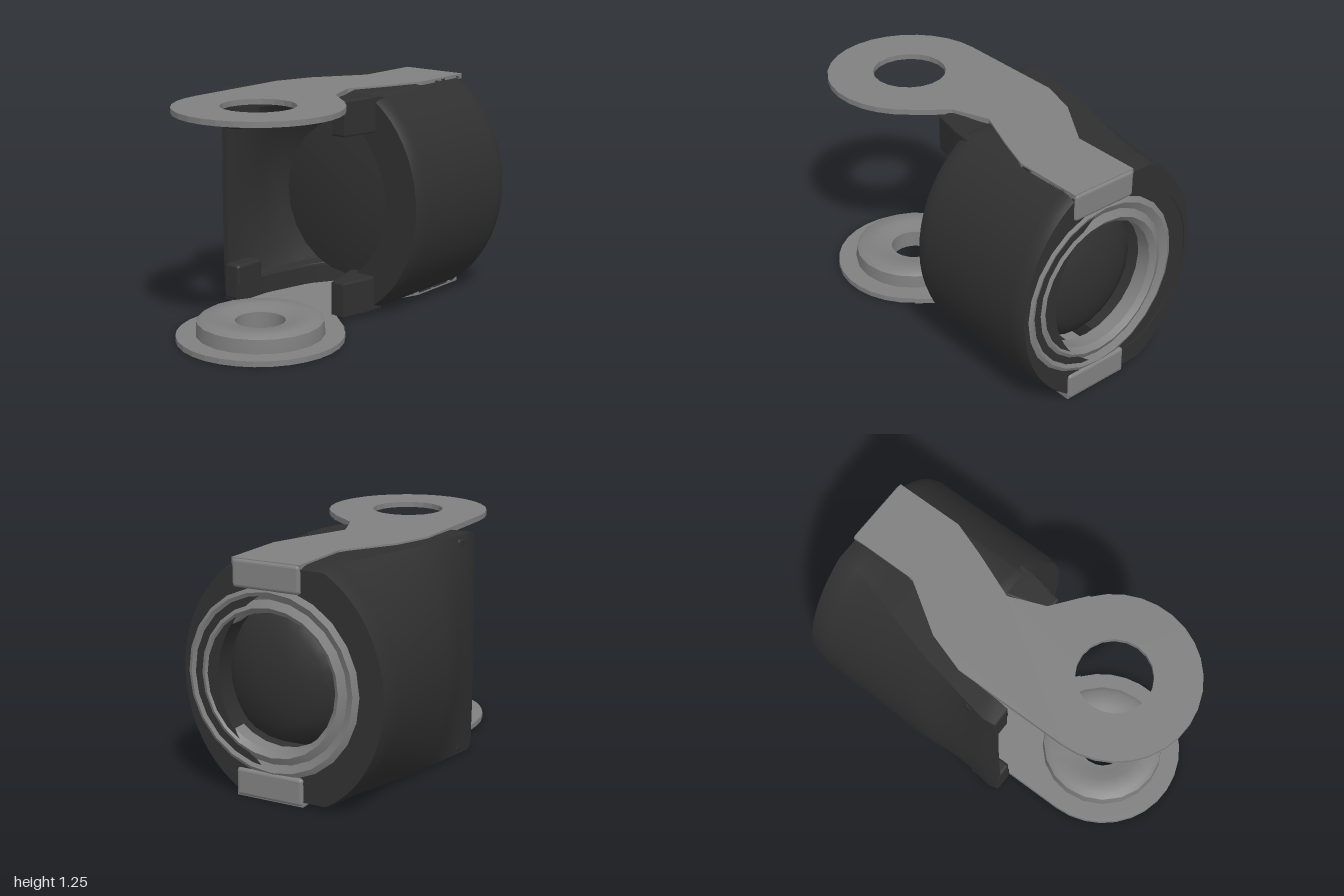
import * as THREE from 'three';
import { toCreasedNormals } from 'three/addons/utils/BufferGeometryUtils.js';
import { RoundedBoxGeometry } from 'three/addons/geometries/RoundedBoxGeometry.js';

const dark = new THREE.MeshStandardMaterial({ color: 0x303030, side: THREE.DoubleSide });
const metal = new THREE.MeshStandardMaterial({ color: 0x808080, side: THREE.DoubleSide });
const MID = 0.625, HALF = 0.615;

function add(parent, name, geometry, material, x = 0, y = 0, z = 0) {
  const m = new THREE.Mesh(geometry, material);
  m.name = name;
  m.position.set(x, y, z);
  parent.add(m);
  return m;
}

// piecewise linear lookup in [key, value] pairs
function lerpTable(table, k) {
  if (k <= table[0][0]) return table[0][1];
  for (let i = 1; i < table.length; i++) {
    const [a, va] = table[i - 1], [b, vb] = table[i];
    if (k <= b) return va + (vb - va) * (k - a) / (b - a);
  }
  return table[table.length - 1][1];
}

// C-shaped side shell: closed cross-sections lofted from the back to the front edge
function shellGeometry({ side, edge, front, thick, innerScale }) {
  const N = 24, S = 20, R = 2 * (N + 3), pos = [], idx = [];
  for (let s = 0; s <= S; s++) {
    const z = -0.985 + (front + 0.985) * s / S;
    const round = s === 0 || s === S ? 0.975 : 1; // softened ends
    const outer = [], inner = [];
    for (let k = -1; k <= N + 1; k++) {
      const t = Math.cos(Math.PI * Math.min(Math.max(k, 0), N) / N);
      const lip = k < 0 || k > N;
      outer.push([lip ? edge(z) : side(t, z) * round, MID + HALF * t * round, z]);
      let xi = lip ? edge(z) : side(t, z) - thick;
      if (!lip && Math.abs(t) > 0.97) xi = (xi + edge(z)) / 2;
      inner.unshift([xi, MID + HALF * t * innerScale, z]);
    }
    [...outer, ...inner].forEach(p => pos.push(...p));
  }
  for (let s = 0; s < S; s++) for (let i = 0; i < R; i++) {
    const a = s * R + i, b = s * R + (i + 1) % R;
    idx.push(a, b, b + R, a, b + R, a + R);
  }
  // end faces
  for (const base of [0, S * R]) for (let i = 0; i < R / 2 - 1; i++) {
    const a = base + i, b = a + 1, d = base + R - 1 - i, c = d - 1;
    if (base) idx.push(a, b, c, a, c, d); else idx.push(a, c, b, a, d, c);
  }
  const g = new THREE.BufferGeometry();
  g.setAttribute('position', new THREE.Float32BufferAttribute(pos, 3));
  g.setIndex(idx);
  return toCreasedNormals(g, 0.6);
}

// round barrel side; the left one flattens into a straight wall towards the front
const barrel = t => 0.59 * Math.sqrt(1 - Math.pow(t * HALF / 0.68, 2));
const wallBulge = z => lerpTable([[-0.24, 0.09], [-0.05, 0.04], [0.22, 0.01]], z);
function leftSide(t, z) {
  const flat = 0.5 + wallBulge(z) * (1 - t * t);
  const k = lerpTable([[-0.85, 1], [-0.3, 0.35], [0.15, 0]], z);
  return -(flat + (barrel(t) - flat) * k);
}

// flat arm outline: narrow strap at the back, round lug at the front
function armGeometry(holeRadius) {
  const s = new THREE.Shape();
  s.moveTo(-0.12, -0.99);
  s.lineTo(0.27, -0.99);
  s.lineTo(0.27, -0.6);
  s.lineTo(0.2, -0.4);
  s.lineTo(0.1, -0.15);
  s.lineTo(0.18, 0.05);
  s.lineTo(0.36, 0.19);
  s.absarc(0.08, 0.55, 0.45, -0.92, Math.PI, false);
  s.lineTo(-0.37, -0.1);
  s.lineTo(-0.3, -0.32);
  s.lineTo(-0.12, -0.6);
  const hole = new THREE.Path();
  hole.absarc(0.08, 0.55, holeRadius, 0, Math.PI * 2, true);
  s.holes.push(hole);
  const g = new THREE.ExtrudeGeometry(s, { depth: 0.03, bevelEnabled: false, curveSegments: 10 });
  return g.rotateX(Math.PI / 2); // outline lies in xz, thickness goes down
}

const latheZ = profile => toCreasedNormals(new THREE.LatheGeometry(
  profile.map(p => new THREE.Vector2(...p)), 24).rotateX(Math.PI / 2), 0.7);

export function createModel() {
  const root = new THREE.Group();
  root.name = 'knuckleJoint';

  // two side shells of the housing
  add(root, 'rightShell', shellGeometry({
    side: barrel, thick: 0.22, innerScale: 0.8, front: -0.15,
    edge: z => lerpTable([[-0.6, 0.27], [-0.4, 0.2], [-0.15, 0.1]], z),
  }), dark);
  add(root, 'leftShell', shellGeometry({
    side: leftSide, thick: -0.045, innerScale: 0.8, front: 0.22,
    edge: z => lerpTable([[-0.6, -0.12], [-0.3, -0.3], [0, -0.37], [0.22, -0.38]], z),
  }), dark);

  // corner tabs reaching forward, above and below
  const tab = new THREE.Shape([[0.11, -0.2], [0.29, -0.2], [0.28, -0.1], [0.245, 0.06], [0.18, 0.06]]
    .map(p => new THREE.Vector2(...p)));
  const tabGeometry = new THREE.ExtrudeGeometry(tab, {
    depth: 0.18, bevelSize: 0.01, bevelThickness: 0.01, bevelSegments: 2,
  }).rotateX(Math.PI / 2);
  const leftTab = new RoundedBoxGeometry(0.115, 0.21, 0.2, 2, 0.02);
  for (const [where, top, mid] of [['upper', 1.22, 1.118], ['lower', 0.21, 0.132]]) {
    add(root, where + 'RightTab', tabGeometry, dark, 0, top, 0);
    add(root, where + 'LeftTab', leftTab, dark, -0.437, mid, 0.125);
  }

  // dark back wall with a round opening
  const pts = [];
  for (const sign of [1, -1]) for (let i = 0; i <= 16; i++) {
    const t = -sign * Math.cos(Math.PI * i / 16);
    pts.push(new THREE.Vector2(sign * (barrel(t) - 0.03), MID + 0.585 * t));
  }
  const wall = new THREE.Shape(pts);
  const opening = new THREE.Path();
  opening.absarc(0.06, MID, 0.45, 0, Math.PI * 2, true);
  wall.holes.push(opening);
  add(root, 'backWall', new THREE.ExtrudeGeometry(wall, {
    depth: 0.05, bevelSize: 0.02, bevelThickness: 0.02, bevelSegments: 2, curveSegments: 16,
  }), dark, 0, 0, -0.96);

  // metal collar around the opening
  add(root, 'backCollar', latheZ([[0.36, 0.1], [0.36, 0.02], [0.39, -0.005], [0.43, 0.015], [0.47, -0.005],
    [0.5, 0.01], [0.5, 0.06], [0.45, 0.1], [0.36, 0.1]]), metal, 0.06, MID, -0.99);

  // drum inside the housing, domed at both ends
  add(root, 'innerDrum', latheZ([[0, -0.93], [0.14, -0.92], [0.26, -0.89], [0.35, -0.84], [0.4, -0.72], [0.45, -0.6],
    [0.455, -0.25], [0.44, -0.19], [0.3, -0.16], [0, -0.14]]), dark, 0.075, MID, 0);

  // arms above and below, turning down over the back as short end straps
  add(root, 'topArm', armGeometry(0.2), metal, 0, 1.25, 0);
  add(root, 'bottomArm', armGeometry(0.135), metal, 0, 0.03, 0);
  const strap = new RoundedBoxGeometry(0.39, 0.15, 0.08, 2, 0.02);
  add(root, 'topStrap', strap, metal, 0.075, 1.173, -0.96);
  add(root, 'bottomStrap', strap, metal, 0.075, 0.077, -0.96);

  // raised ring on the lower lug
  const ring = [[0.135, 0.02], [0.135, 0.1], [0.17, 0.105], [0.22, 0.125], [0.31, 0.125], [0.34, 0.105], [0.345, 0.05], [0.345, 0.02]];
  add(root, 'lugRing', toCreasedNormals(new THREE.LatheGeometry(
    ring.map(p => new THREE.Vector2(...p)), 20), 0.7), metal, 0.08, 0, 0.55);

  return root;
}
